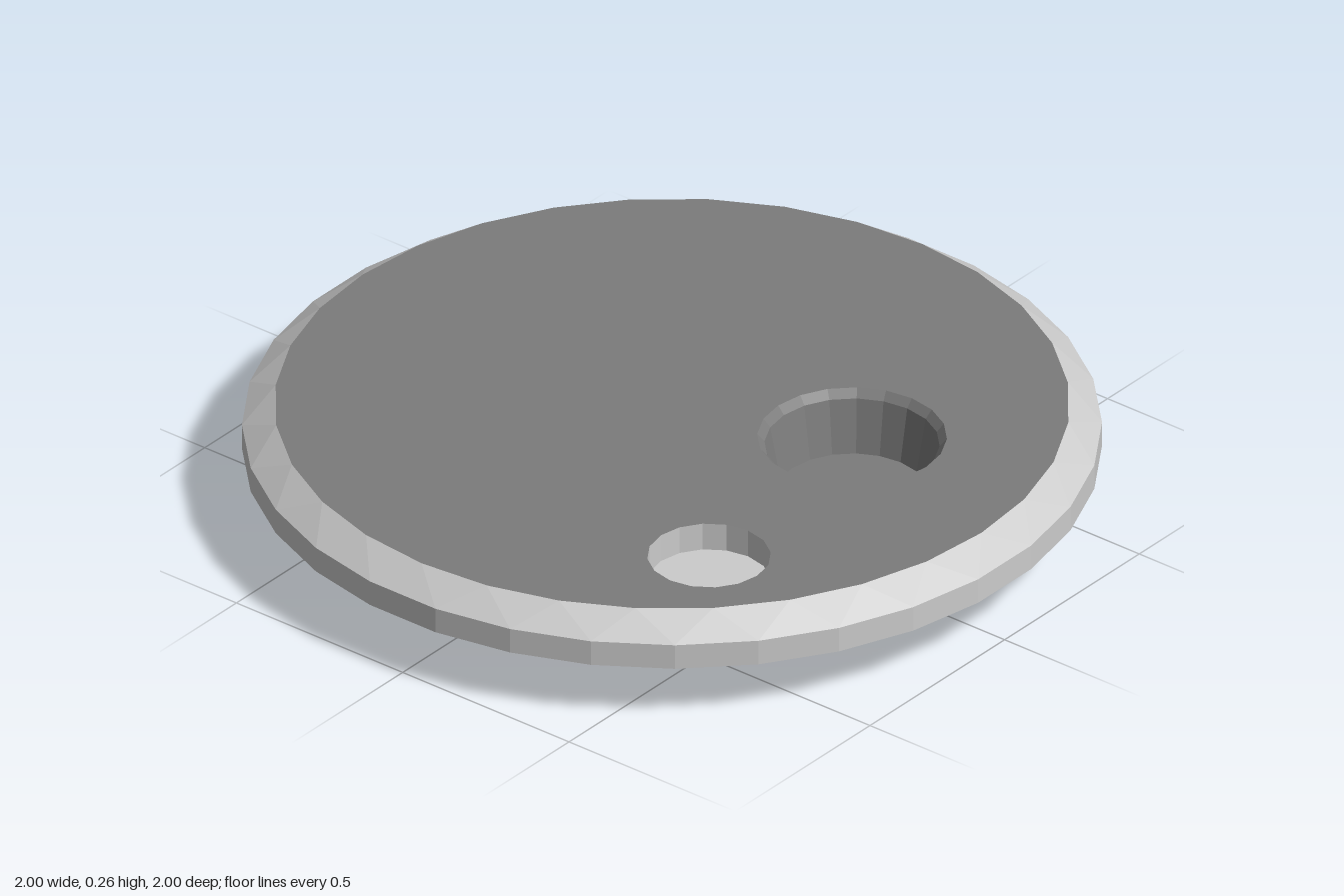
import * as THREE from 'three';

const TOP = 0.265;
const light = new THREE.MeshStandardMaterial({ color: 0xcccccc, flatShading: true });
const dark = new THREE.MeshStandardMaterial({ color: 0x7c7c7c, flatShading: true });

// points of one polygonal ring; shift is in fractions of a segment
function ringPoints(r, sides, shift = 0) {
  return Array.from({ length: sides }, (_, j) => {
    const a = ((j + shift) / sides) * Math.PI * 2;
    return new THREE.Vector2(r * Math.sin(a), r * Math.cos(a));
  });
}

// skin between rings [radius, y, shift]: outward when listed upward, inward when downward
function skinRings(rings, sides) {
  const pos = [], index = [];
  rings.forEach(([r, y, shift]) => ringPoints(r, sides, shift).forEach((p) => pos.push(p.x, y, p.y)));
  for (let i = 0; i < rings.length - 1; i++) {
    for (let j = 0; j < sides; j++) {
      const k = (j + 1) % sides;
      const a = i * sides + j, b = i * sides + k, c = a + sides, d = b + sides;
      if (rings[i][0] > 0) index.push(a, b, d);
      if (rings[i + 1][0] > 0) index.push(a, d, c);
    }
  }
  const g = new THREE.BufferGeometry();
  g.setAttribute('position', new THREE.Float32BufferAttribute(pos, 3));
  g.setIndex(index);
  g.computeVertexNormals();
  return g;
}

export function createModel() {
  const group = new THREE.Group();
  const add = (name, geometry, material, x = 0, y = 0, z = 0) => {
    const mesh = new THREE.Mesh(geometry, material);
    mesh.name = name;
    mesh.position.set(x, y, z);
    group.add(mesh);
  };

  // flat base, flared underside, upright rim and bevel
  add('body', skinRings([
    [0, 0, 0.5], [0.58, 0, 0.5], [1.005, 0.147, 0.5], [1.005, 0.211, 0.5], [0.93, TOP, 0],
  ], 32), light);

  // recesses: profile of [radius, depth] from the lip down to the floor centre
  const recesses = [
    { name: 'largeRecess', x: 0.42, z: -0.15, sides: 20, material: dark,
      profile: [[0.222, 0], [0.205, 0.02], [0.18, 0.155], [0, 0.155]] },
    { name: 'smallRecess', x: 0.5, z: 0.48, sides: 16, material: light,
      profile: [[0.145, 0], [0.145, 0.07], [0, 0.07]] },
  ];

  // top plate pierced by the recess openings
  const plate = new THREE.Shape(ringPoints(0.93, 32));
  recesses.forEach(({ name, x, z, sides, material, profile }) => {
    const rim = ringPoints(profile[0][0], sides).map((p) => new THREE.Vector2(p.x + x, -p.y - z));
    plate.holes.push(new THREE.Path(rim));
    add(name, skinRings(profile.map(([r, d]) => [r, -d, 0]), sides), material, x, TOP, z);
  });
  add('topPlate', new THREE.ShapeGeometry(plate).rotateX(-Math.PI / 2), dark, 0, TOP, 0);

  return group;
}
